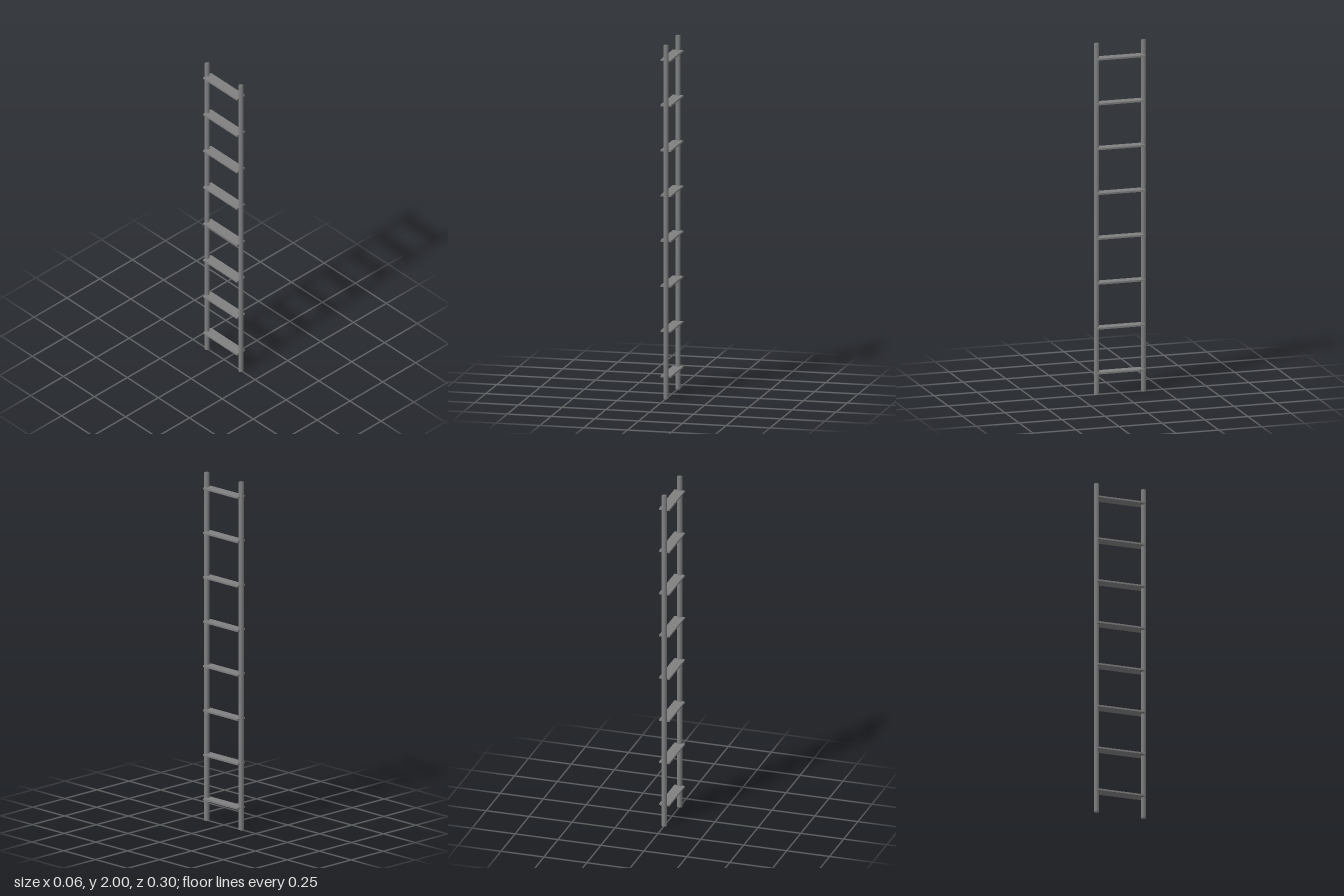
import * as THREE from 'three';
import { mergeVertices } from 'three/addons/utils/BufferGeometryUtils.js';

const RAIL_Z = 0.136, RAIL_RADIUS = 0.0147;
const RUNG_COUNT = 8, FIRST_RUNG = 0.125, LAST_RUNG = 1.913;

// Closed pole whose normals run smoothly over the rims
function poleGeometry(radius, height, sides) {
  const pole = new THREE.CylinderGeometry(radius, radius, height, sides);
  pole.deleteAttribute('normal');
  pole.deleteAttribute('uv');
  const smooth = mergeVertices(pole, 1e-5);
  smooth.computeVertexNormals();
  return smooth;
}

export function createModel() {
  const ladder = new THREE.Group();
  ladder.name = 'ladder';

  const metal = new THREE.MeshStandardMaterial({ color: 0x808080 });
  metal.name = 'grey metal';

  // Two upright rails
  const railGeometry = poleGeometry(RAIL_RADIUS, 2, 12);
  for (const side of [1, -1]) {
    const rail = new THREE.Mesh(railGeometry, metal);
    rail.name = side > 0 ? 'frontRail' : 'backRail';
    rail.position.set(0, 1, side * RAIL_Z);
    ladder.add(rail);
  }

  // Flat rungs, ending inside the rails
  const rungGeometry = new THREE.BoxGeometry(0.06, 0.01, 2 * RAIL_Z);
  for (let i = 0; i < RUNG_COUNT; i++) {
    const rung = new THREE.Mesh(rungGeometry, metal);
    rung.name = `rung${i + 1}`;
    rung.position.y = THREE.MathUtils.lerp(FIRST_RUNG, LAST_RUNG, i / (RUNG_COUNT - 1));
    ladder.add(rung);
  }

  return ladder;
}
